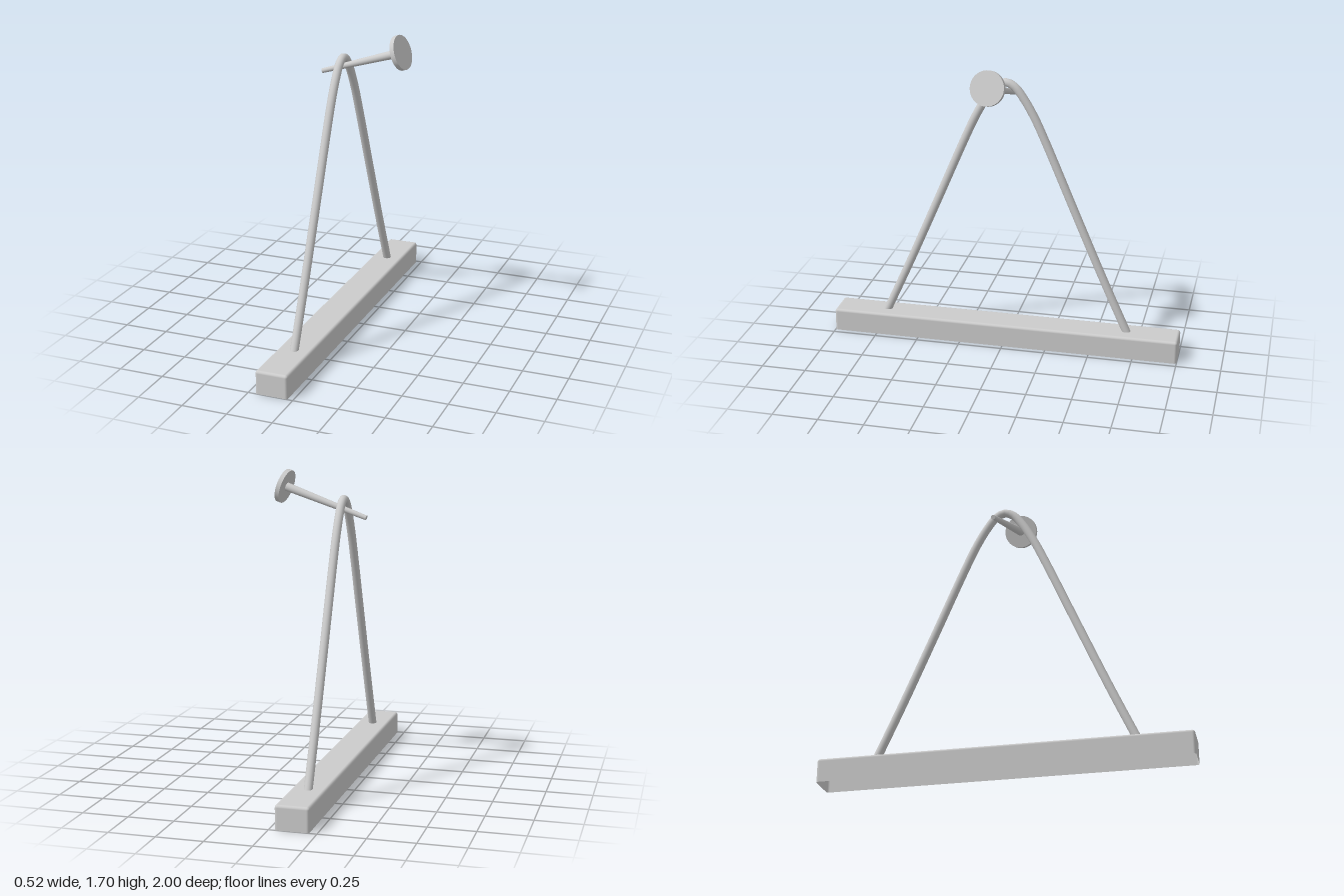
import * as THREE from 'three';
import { RoundedBoxGeometry } from 'three/addons/geometries/RoundedBoxGeometry.js';

const material = new THREE.MeshStandardMaterial({ color: 0xcccccc, side: THREE.DoubleSide });
const POST_X = -0.12;

function part(name, geometry) {
  const mesh = new THREE.Mesh(geometry, material);
  mesh.name = name;
  return mesh;
}

// Upper half of a rounded box, leaving a hollow shell open underneath
function openShell(width, height, depth, radius) {
  const box = new RoundedBoxGeometry(width, height * 2, depth, 3, radius);
  const source = box.index ? box.toNonIndexed() : box;
  const p = source.attributes.position;
  const n = source.attributes.normal;
  const positions = [];
  const normals = [];
  for (let i = 0; i < p.count; i += 3) {
    if (Math.max(p.getY(i), p.getY(i + 1), p.getY(i + 2)) <= 0) continue;
    for (let j = i; j < i + 3; j++) {
      const cut = p.getY(j) < 0;
      positions.push(p.getX(j), Math.max(p.getY(j), 0), p.getZ(j));
      normals.push(n.getX(j), cut ? 0 : n.getY(j), n.getZ(j));
    }
  }
  const shell = new THREE.BufferGeometry();
  shell.setAttribute('position', new THREE.Float32BufferAttribute(positions, 3));
  shell.setAttribute('normal', new THREE.Float32BufferAttribute(normals, 3));
  return shell;
}

export function createModel() {
  const group = new THREE.Group();

  // Long hollow base bar
  const base = part('base', openShell(0.18, 0.13, 2, 0.015));
  base.position.x = POST_X;
  group.add(base);

  // Bent rod arch, mirrored about its crown
  const half = [[0.705, 0.12], [0.565, 0.43], [0.405, 0.8], [0.225, 1.22],
    [0.165, 1.35], [0.105, 1.455], [0.05, 1.525]];
  const profile = [...half, [0, 1.547], ...half.map(([z, y]) => [-z, y]).reverse()];
  const path = new THREE.CatmullRomCurve3(profile.map(([z, y]) => new THREE.Vector3(POST_X, y, z)));
  group.add(part('arch', new THREE.TubeGeometry(path, 120, 0.023, 20)));

  // Tilted peg: tapered shaft with a flat round head, built along +y then aimed
  const tip = new THREE.Vector3(-0.255, 1.453, -0.037);
  const end = new THREE.Vector3(0.229, 1.612, 0.022);
  const axis = end.clone().sub(tip);
  const length = axis.length();
  const headThickness = 0.025;
  const peg = new THREE.Group();
  peg.name = 'peg';

  const shaftLength = length - headThickness / 2;
  const shaft = part('pegShaft', new THREE.CylinderGeometry(0.024, 0.013, shaftLength, 24));
  shaft.position.y = shaftLength / 2;
  const head = part('pegHead', new THREE.CylinderGeometry(0.094, 0.094, headThickness, 40));
  head.position.y = length - headThickness / 2;
  peg.add(shaft, head);

  peg.position.copy(tip);
  peg.quaternion.setFromUnitVectors(new THREE.Vector3(0, 1, 0), axis.normalize());
  group.add(peg);

  return group;
}
